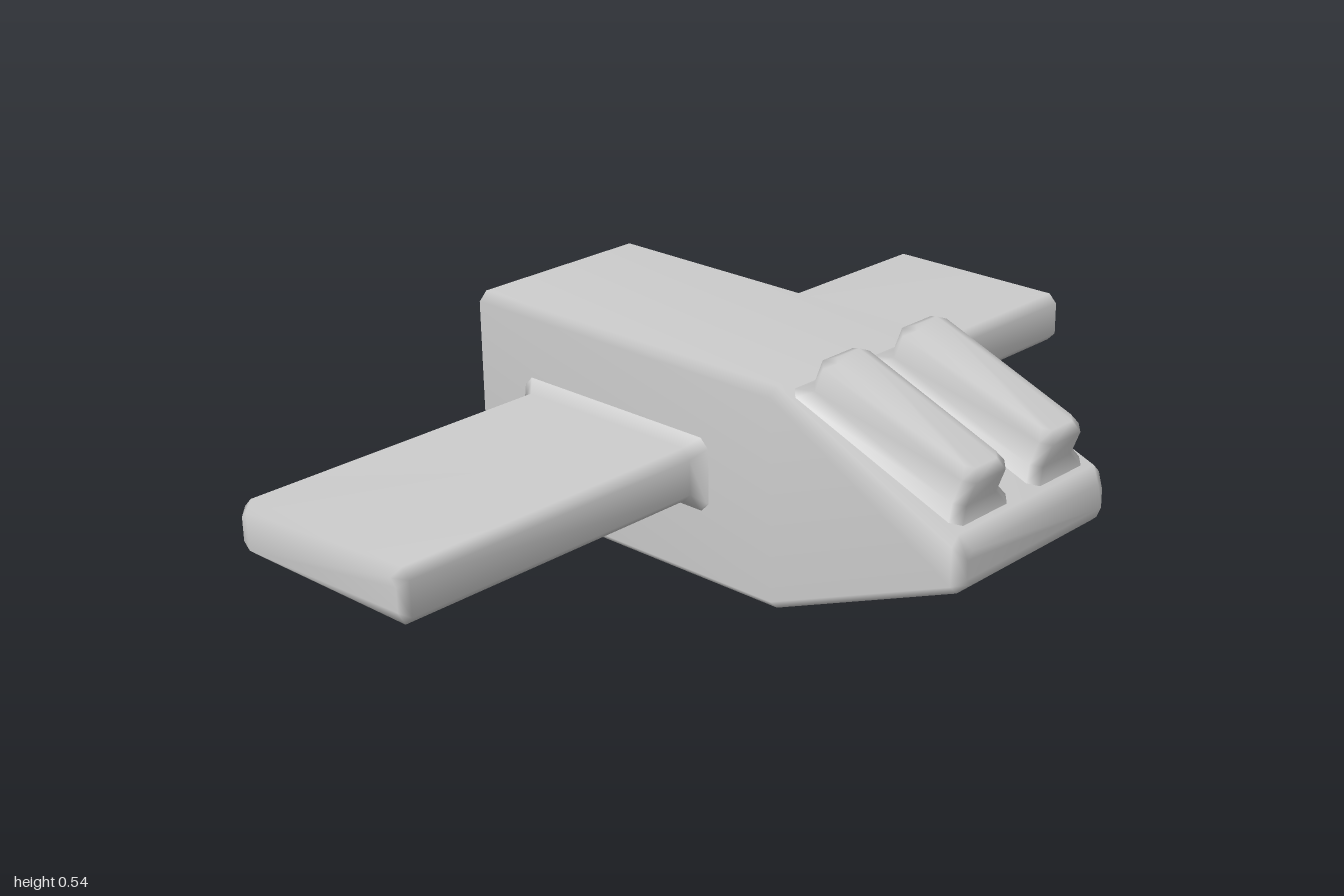
import * as THREE from 'three';

const material = new THREE.MeshStandardMaterial({ color: 0xcccccc });

// Corners of a rectangle a0..a1 by b0..b1 with its corners cut by c, counter-clockwise
function cutRect(a0, a1, b0, b1, c) {
  return [
    [a0 + c, b0], [a1 - c, b0], [a1, b0 + c], [a1, b1 - c],
    [a1 - c, b1], [a0 + c, b1], [a0, b1 - c], [a0, b0 + c],
  ];
}

// Joins rings [t, a0, a1, b0, b1, c] along t and closes the last one.
// place() turns (a, b, t) into x, y, z; inward turns the faces inside.
function loft(rings, place, inward = false) {
  const points = [], index = [], n = 8;
  for (const [t, ...rect] of rings) {
    for (const [a, b] of cutRect(...rect)) points.push(...place(a, b, t));
  }
  const face = (i, j, k) => (inward ? index.push(i, k, j) : index.push(i, j, k));
  for (let r = 0; r < rings.length - 1; r++) {
    for (let i = 0; i < n; i++) {
      const p = r * n + i, q = r * n + (i + 1) % n;
      face(p, q, q + n);
      face(p, q + n, p + n);
    }
  }
  const last = (rings.length - 1) * n;
  for (let i = 1; i < n - 1; i++) face(last, last + i, last + i + 1);
  const geometry = new THREE.BufferGeometry();
  geometry.setAttribute('position', new THREE.Float32BufferAttribute(points, 3));
  geometry.setIndex(index);
  geometry.computeVertexNormals();
  return geometry;
}

const alongX = (a, b, t) => [t, a, b];
const alongY = (a, b, t) => [b, t, a];
const alongZ = (a, b, t) => [a, b, t];

export function createModel() {
  const model = new THREE.Group();
  const add = (name, geometry, parent = model) => {
    const mesh = new THREE.Mesh(geometry, material);
    mesh.name = name;
    parent.add(mesh);
    return mesh;
  };

  // Hull: straight block that tapers to a blunt nose
  add('hull', loft([
    [-0.66, 0.02, 0.455, -0.215, 0.215, 0.015],
    [-0.64, 0, 0.475, -0.235, 0.235, 0.02],
    [0.19, 0, 0.475, -0.235, 0.235, 0.02],
    [0.635, 0.18, 0.3, -0.235, 0.235, 0.02],
    [0.658, 0.2, 0.27, -0.215, 0.215, 0.015],
  ], alongX));

  // Rear plate with two upright recessed slots
  const toPoints = (list) => list.map(([a, b]) => new THREE.Vector2(a, b));
  const plate = new THREE.Shape(toPoints(cutRect(-0.215, 0.215, 0.02, 0.455, 0.015)));
  for (const side of [-1, 1]) {
    const z = side * 0.115;
    plate.holes.push(new THREE.Path(toPoints(cutRect(z - 0.052, z + 0.052, 0.05, 0.425, 0.008)).reverse()));
    add(side > 0 ? 'leftSlot' : 'rightSlot', loft([
      [-0.66, 0.05, 0.425, z - 0.052, z + 0.052, 0.008],
      [-0.6, 0.05, 0.425, z - 0.052, z + 0.052, 0.008],
    ], alongX, true).toNonIndexed()).geometry.computeVertexNormals();
  }
  const plateGeometry = new THREE.ShapeGeometry(plate);
  plateGeometry.rotateY(-Math.PI / 2);
  plateGeometry.translate(-0.66, 0, 0);
  add('rearPlate', plateGeometry);

  // Wings with a flared root, one on each side
  const wing = loft([
    [0.23, -0.51, 0.03, -0.082, 0.082, 0.02],
    [0.238, -0.502, 0.022, -0.078, 0.078, 0.02],
    [0.262, -0.48, 0, -0.0575, 0.0575, 0.02],
    [0.98, -0.48, 0, -0.0575, 0.0575, 0.02],
    [1, -0.465, -0.015, -0.04, 0.04, 0.015],
  ], alongZ);
  for (const side of [-1, 1]) {
    const mesh = add(side > 0 ? 'frontWing' : 'backWing', wing);
    mesh.position.y = 0.2425;
    if (side < 0) mesh.rotation.x = Math.PI;
  }

  // Two raised blocks lying on the sloping nose
  const block = loft([
    [-0.01, -0.087, 0.087, 0.01, 0.457, 0.02],
    [0.002, -0.087, 0.087, 0.012, 0.455, 0.02],
    [0.025, -0.065, 0.065, 0.035, 0.435, 0.02],
    [0.08, -0.065, 0.065, 0.035, 0.435, 0.02],
    [0.098, -0.047, 0.047, 0.055, 0.415, 0.015],
  ], alongY);
  const blocks = new THREE.Group();
  blocks.name = 'noseBlocks';
  blocks.position.set(0.2, 0.47, 0);
  blocks.rotation.z = -0.376;
  for (const side of [-1, 1]) {
    add('noseBlock', block, blocks).position.z = side * 0.12;
  }
  model.add(blocks);

  return model;
}
